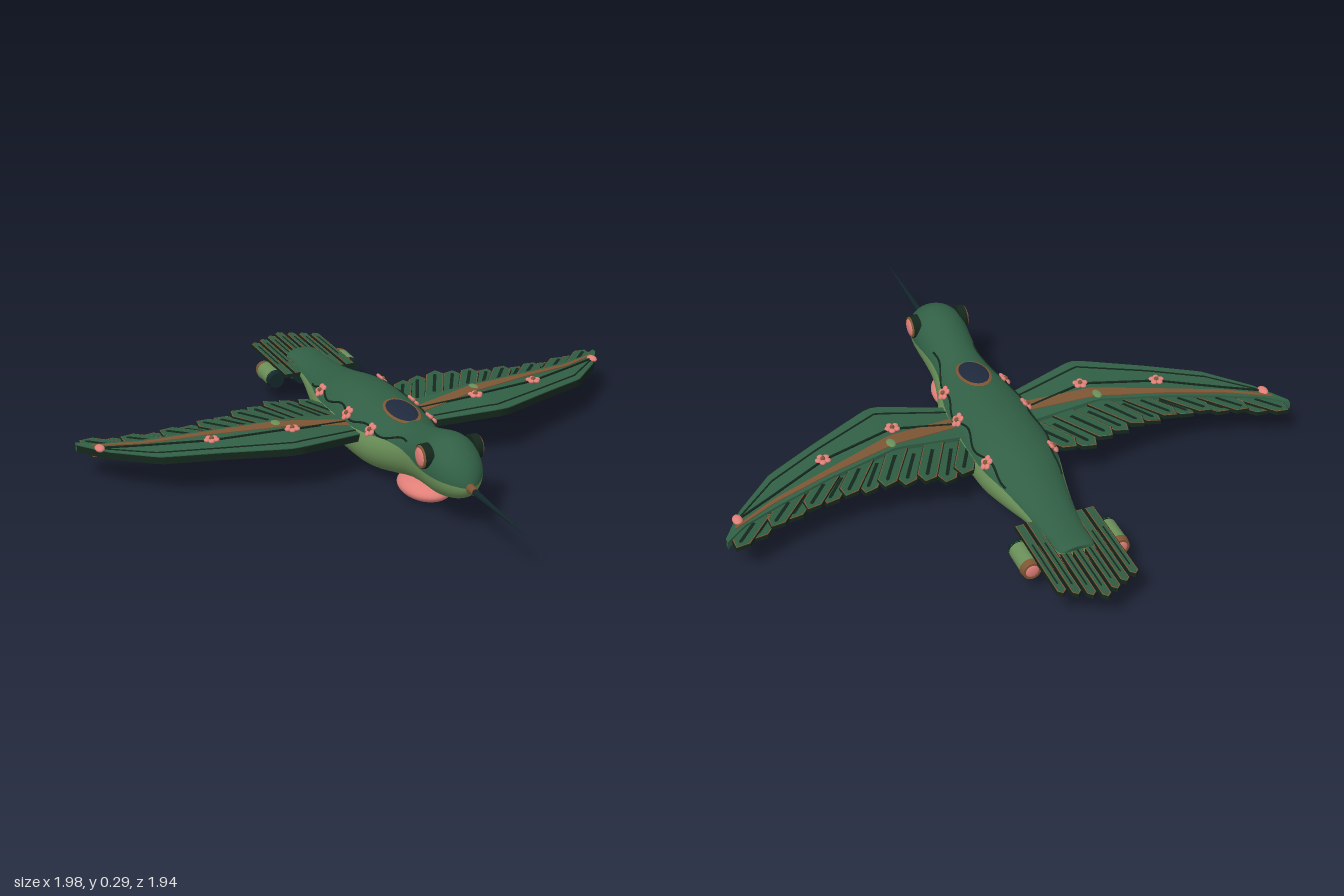
import * as THREE from 'three';

const paint = (name, color) => {
  const m = new THREE.MeshStandardMaterial({ color });
  m.name = name;
  return m;
};
const green = paint('deep green', 0x315f45);
const featherGreen = paint('feather green', 0x2e5b42);
const belly = paint('leaf green', 0x6a8f58);
const pink = paint('coral pink', 0xe07f78);
const brown = paint('copper brown', 0x7d5634);
const vineDark = paint('vine dark', 0x14261c);
const navy = paint('canopy navy', 0x1f2a3d);
const beakDark = paint('beak dark', 0x12262a);

// Body stations: z, half width, top, bottom, height of the colour seam
const stations = [
  [0.62, 0.008, 0.172, 0.156, 0.165], [0.6, 0.042, 0.215, 0.13, 0.172], [0.56, 0.074, 0.255, 0.108, 0.178],
  [0.5, 0.093, 0.287, 0.092, 0.182], [0.44, 0.097, 0.288, 0.088, 0.185], [0.37, 0.093, 0.268, 0.08, 0.188],
  [0.29, 0.092, 0.245, 0.065, 0.185], [0.2, 0.108, 0.229, 0.04, 0.178], [0.1, 0.138, 0.225, 0.016, 0.168],
  [0, 0.147, 0.227, 0.007, 0.16], [-0.15, 0.147, 0.228, 0.005, 0.155], [-0.28, 0.14, 0.215, 0.012, 0.15],
  [-0.4, 0.112, 0.188, 0.035, 0.143], [-0.52, 0.085, 0.168, 0.068, 0.135], [-0.64, 0.067, 0.158, 0.093, 0.13],
  [-0.735, 0.058, 0.154, 0.112, 0.135], [-0.74, 0.003, 0.136, 0.13, 0.133],
];
const spline = (a, b) => new THREE.CatmullRomCurve3(
  stations.map((s) => new THREE.Vector3(s[0], s[a], s[b])), false, 'catmullrom', 0.5);
const widthTop = spline(1, 2), bottomSeam = spline(3, 4);

function section(t) {
  const p = widthTop.getPoint(t), q = bottomSeam.getPoint(t);
  const c = (p.z + q.y) / 2, h = (p.z - q.y) / 2;
  return { z: p.x, w: p.y, c, h, seam: Math.asin(THREE.MathUtils.clamp((q.z - c) / h, -0.8, 0.8)) };
}
const onSection = (s, a) => new THREE.Vector3(s.w * Math.cos(a), s.c + s.h * Math.sin(a), s.z);

function bodyPoint(z, a) {
  let lo = 0, hi = 1;
  for (let i = 0; i < 30; i++) {
    const m = (lo + hi) / 2;
    if (widthTop.getPoint(m).x > z) lo = m; else hi = m;
  }
  return onSection(section(lo), a);
}

// Lofted shell over one arc of the body
function bodyShell(upper) {
  const rows = 96, cols = 28, pos = [], idx = [];
  for (let i = 0; i <= rows; i++) {
    const s = section(i / rows);
    const a0 = upper ? s.seam : Math.PI - s.seam;
    const a1 = upper ? Math.PI - s.seam : Math.PI * 2 + s.seam;
    for (let j = 0; j <= cols; j++) pos.push(...onSection(s, a0 + (a1 - a0) * j / cols).toArray());
  }
  for (let i = 0; i < rows; i++) for (let j = 0; j < cols; j++) {
    const a = i * (cols + 1) + j, b = a + cols + 1;
    idx.push(a, b, a + 1, b, b + 1, a + 1);
  }
  const g = new THREE.BufferGeometry();
  g.setAttribute('position', new THREE.Float32BufferAttribute(pos, 3));
  g.setIndex(idx);
  g.computeVertexNormals();
  return g;
}

// Piecewise linear lookup in rows of [x, value, ...]
function lookup(rows, x, k = 1) {
  let i = 1;
  while (i < rows.length - 1 && rows[i][0] < x) i++;
  const [a, b] = [rows[i - 1], rows[i]];
  return a[k] + (b[k] - a[k]) * THREE.MathUtils.clamp((x - a[0]) / (b[0] - a[0]), 0, 1);
}
const wingRise = [[0.05, 0.138], [0.15, 0.147], [0.36, 0.168], [0.6, 0.152], [0.8, 0.134], [1, 0.12]];
const wingY = (x) => lookup(wingRise, x);

// Strip following the wing; rows are [x, front z, back z]
function wingStrip(rows, thick, lift = 0, n = 36) {
  const g = new THREE.BoxGeometry(1, thick, 1, n, 1, 1), p = g.attributes.position;
  const x0 = rows[0][0], x1 = rows[rows.length - 1][0];
  for (let i = 0; i < p.count; i++) {
    const x = x0 + (x1 - x0) * (p.getX(i) + 0.5);
    p.setXYZ(i, x, wingY(x) + lift + p.getY(i), lookup(rows, x, p.getZ(i) > 0 ? 1 : 2));
  }
  g.computeVertexNormals();
  return g;
}
const line = (pts, w) => pts.map(([x, z]) => [x, z + w / 2, z - w / 2]);

// Pointed feather plate from base to tip, in the xz plane
function feather(base, tip, w, thick, heightAt, grow = 0) {
  const b = new THREE.Vector2(...base), t = new THREE.Vector2(...tip);
  const d = t.clone().sub(b).normalize(), s = new THREE.Vector2(-d.y, d.x).multiplyScalar(w / 2 + grow);
  b.addScaledVector(d, -grow);
  t.addScaledVector(d, grow);
  const neck = t.clone().addScaledVector(d, -w * 0.55);
  const pts = [b.clone().add(s), neck.clone().add(s), t, neck.clone().sub(s), b.clone().sub(s)];
  const g = new THREE.ExtrudeGeometry(new THREE.Shape(pts.map((p) => new THREE.Vector2(p.x, -p.y))),
    { depth: thick, bevelEnabled: false });
  g.rotateX(-Math.PI / 2);
  const p = g.attributes.position;
  for (let i = 0; i < p.count; i++) p.setY(i, p.getY(i) - thick / 2 + heightAt(p.getX(i)));
  g.computeVertexNormals();
  return g;
}

function mirrored(geo) {
  const g = geo.index ? geo.toNonIndexed() : geo.clone();
  for (const key of ['position', 'normal']) {
    const a = g.attributes[key], v = new THREE.Vector3(), u = new THREE.Vector3();
    for (let i = 0; i < a.count; i += 3) {
      v.fromBufferAttribute(a, i + 1);
      u.fromBufferAttribute(a, i + 2);
      a.setX(i, -a.getX(i)).setXYZ(i + 1, -u.x, u.y, u.z).setXYZ(i + 2, -v.x, v.y, v.z);
    }
  }
  return g;
}

export function createModel() {
  const model = new THREE.Group();
  model.name = 'birdAircraft';
  const add = (name, geo, mat) => {
    const m = new THREE.Mesh(geo, mat);
    m.name = name;
    model.add(m);
  };
  const both = (name, geo, mat) => {
    add(name + 'Left', geo, mat);
    add(name + 'Right', mirrored(geo), mat);
  };
  const ball = (x, y, z, r, sx = 1, sy = 1, sz = 1, seg = 12) =>
    new THREE.SphereGeometry(r, seg, Math.ceil(seg * 0.7)).scale(sx, sy, sz).translate(x, y, z);

  // Body, throat pouch and beak
  add('upperBody', bodyShell(true), green);
  add('lowerBody', bodyShell(false), belly);
  add('throatPouch', ball(0, 0.042, 0.298, 1, 0.084, 0.038, 0.117, 32), pink);
  const along = (r0, r1, z0, z1, x, y, seg = 20) =>
    new THREE.CylinderGeometry(r1, r0, z1 - z0, seg).rotateX(Math.PI / 2).translate(x, y, (z0 + z1) / 2);
  add('beakCollar', along(0.016, 0.012, 0.605, 0.65, 0, 0.166), brown);
  add('beak', along(0.011, 0.001, 0.645, 0.97, 0, 0.166), beakDark);

  // Eyes: dark socket, copper face ring and pink lens
  const disc = (r0, r1, x0, x1) => new THREE.CylinderGeometry(r1, r0, x1 - x0, 28)
    .rotateZ(-Math.PI / 2).translate((x0 + x1) / 2, 0.233, 0.473);
  both('eyeSocket', disc(0.041, 0.04, 0.072, 0.1), vineDark);
  both('eyeRing', disc(0.038, 0.035, 0.099, 0.105), brown);
  both('eyeLens', ball(0.103, 0.233, 0.473, 0.031, 0.3, 1, 1, 24), pink);

  // Canopy, tipped up at the rear
  const dome = (r, h) => ball(0, 0, 0, 1, r, h, r * 1.65, 32).rotateX(0.1).translate(0, 0.234, 0.125);
  add('canopyRim', dome(0.056, 0.007), brown);
  add('canopyGlass', dome(0.051, 0.01), navy);

  // Wing panels, dark leading edge, stripe and vines
  const leading = [[0.06, 0.06], [0.36, 0.14], [0.4, 0.132], [0.6, 0.04], [0.78, -0.045], [0.92, -0.18], [0.99, -0.285]];
  const rear = [[0.06, -0.1], [0.36, -0.1], [0.6, -0.15], [0.78, -0.2], [0.92, -0.25], [0.99, -0.305]];
  both('wingPanel', wingStrip(leading.map(([x, z]) => [x, z, lookup(rear, x)]), 0.026), green);
  both('wingLeadingEdge', wingStrip(line(leading, 0.006), 0.023, -0.001, 60), vineDark);
  both('wingStripe', wingStrip([[0.1, 0.012, -0.04], [0.37, -0.035, -0.085], [0.6, -0.11, -0.135],
    [0.8, -0.17, -0.188], [0.95, -0.245, -0.255]], 0.032), brown);
  both('wingUnderStripe', wingStrip([[0.1, 0.01, -0.06], [0.37, 0, -0.07], [0.6, -0.07, -0.13],
    [0.8, -0.14, -0.18], [0.95, -0.24, -0.26]], 0.01, -0.018), brown);
  both('wingEdgeVine', wingStrip(line([[0.12, 0.045], [0.37, 0.1], [0.6, 0.005], [0.78, -0.08], [0.94, -0.22]], 0.007),
    0.006, 0.012), vineDark);
  both('wingFlowerVine', wingStrip(line([[0.12, -0.03], [0.34, 0], [0.6, -0.06], [0.93, -0.215]], 0.007),
    0.006, 0.015), vineDark);
  both('wingTipLight', ball(0.933, wingY(0.933) + 0.014, -0.215, 0.022, 0.75, 0.5, 1.1, 16), pink);
  both('wingLeaf', ball(0.37, wingY(0.37) + 0.014, -0.072, 0.02, 0.8, 0.3, 1.2), belly);

  // Feather: stacked dark edge, copper outline, green vane and dark slash
  const layered = (place, name, base, tip, w, y) => {
    const mix = (k) => base.map((v, i) => v + (tip[i] - v) * k);
    place(name + 'Edge', feather(base, tip, w, 0.0135, y, 0.004), vineDark);
    place(name + 'Outline', feather(base, tip, w, 0.015, y, 0.002), brown);
    place(name + 'Vane', feather(base, tip, w, 0.0165, y, -0.001), featherGreen);
    place(name + 'Slash', feather(mix(0.3), mix(0.88), w * 0.2, 0.018, y), vineDark);
  };

  // Wing feathers
  const trailing = [[0.18, -0.27], [0.24, -0.305], [0.45, -0.262], [0.62, -0.245], [0.75, -0.258], [0.85, -0.285], [0.97, -0.33]];
  const baseLine = [[0.06, -0.06], [0.37, -0.07], [0.6, -0.125], [0.78, -0.175], [0.94, -0.24]];
  for (let i = 0; i < 13; i++) {
    const x = 0.2 + i * 0.064, bx = x - 0.115;
    const y = (px) => wingY(px) - 0.003 - (i % 2) * 0.007;
    layered(both, 'wingFeather' + i, [bx, lookup(baseLine, bx)], [x, lookup(trailing, x)], 0.058, y);
  }

  // Tail feathers
  for (let i = -3; i <= 3; i++) {
    layered(add, 'tailFeather' + (i + 4), [i * 0.04, -0.565], [i * 0.04, -0.966 + Math.abs(i) * 0.021], 0.024, () => 0.125);
  }

  // Tail engine pods
  for (const x of [0.052, 0.15]) {
    both('podShell', along(0.032, 0.032, -0.72, -0.625, x, 0.094, 24), belly);
    both('podIntake', along(0.033, 0.028, -0.63, -0.608, x, 0.094, 24), beakDark);
    both('podRing', along(0.03, 0.034, -0.74, -0.718, x, 0.094, 24), brown);
    both('podNozzle', ball(x, 0.094, -0.738, 0.023, 1, 1, 0.3, 20), pink);
  }

  // Flowers: five petals round a dark centre
  const flower = (name, p, tilt) => {
    const place = (g) => g.rotateZ(-tilt).translate(p.x, p.y, p.z);
    for (let k = 0; k < 5; k++) {
      const a = k * Math.PI * 0.4;
      both(name + 'Petal', place(ball(Math.cos(a) * 0.016, 0.005, Math.sin(a) * 0.016, 0.011, 1, 0.6, 1)), pink);
    }
    both(name + 'Centre', place(ball(0, 0.009, 0, 0.008)), brown);
  };
  for (const [x, z] of [[0.34, 0], [0.6, -0.06]]) flower('wingFlower', new THREE.Vector3(x, wingY(x) + 0.014, z), 0);
  for (const z of [-0.28, -0.04, 0.12]) flower('bodyFlower', bodyPoint(z, 0.62), 0.85);

  // Wavy vines along the body
  const vine = [];
  for (let i = 0; i <= 40; i++) vine.push(bodyPoint(0.32 - i * 0.018, 0.62 + 0.1 * Math.sin(i * 0.6)));
  both('bodyVine', new THREE.TubeGeometry(new THREE.CatmullRomCurve3(vine), 120, 0.004, 6), vineDark);

  return model;
}
